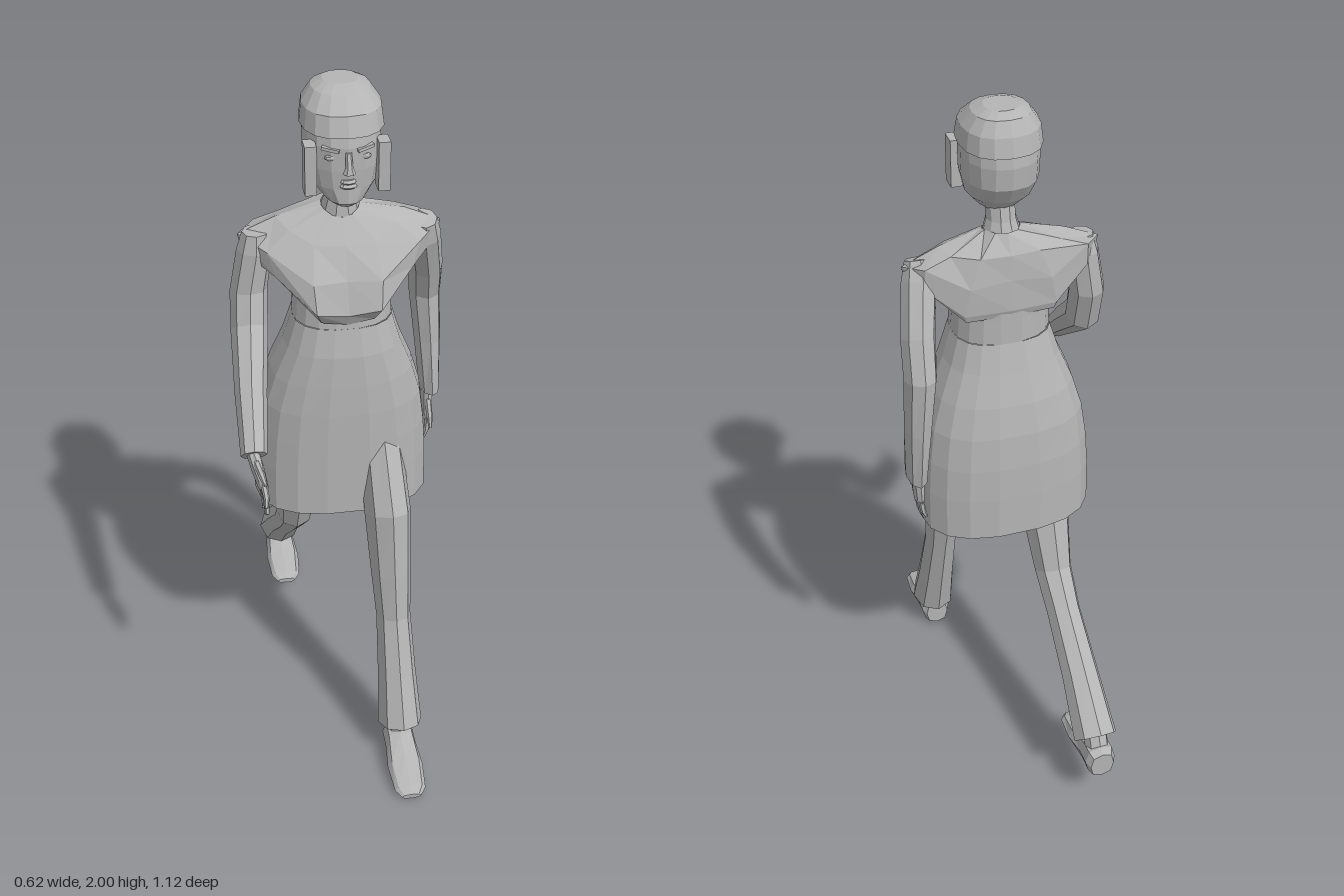
import * as THREE from 'three';

const grey = new THREE.MeshStandardMaterial({ color: 0xb4b4b4, flatShading: true, side: THREE.DoubleSide });
grey.name = 'plain grey';

// Joins closed rings of points into a surface
function skin(name, rings, capStart, capEnd) {
  const pos = [], idx = [], n = rings[0].length;
  rings.forEach(r => r.forEach(p => pos.push(...p)));
  for (let k = 0; k < rings.length - 1; k++) {
    for (let i = 0; i < n; i++) {
      const a = k * n + i, b = k * n + (i + 1) % n;
      idx.push(a, b, b + n, a, b + n, a + n);
    }
  }
  const last = (rings.length - 1) * n;
  for (let i = 1; i < n - 1; i++) {
    if (capStart) idx.push(0, i + 1, i);
    if (capEnd) idx.push(last, last + i, last + i + 1);
  }
  const g = new THREE.BufferGeometry();
  g.setAttribute('position', new THREE.Float32BufferAttribute(pos, 3));
  g.setIndex(idx);
  const flat = g.toNonIndexed();
  flat.computeVertexNormals();
  const mesh = new THREE.Mesh(flat, grey);
  mesh.name = name;
  return mesh;
}

// Sections are [x, y, z, half width, half depth]; rings follow the path unless a tilt is given
function loft(name, secs, { n = 8, tilt, caps = [true, true], pow = 1 } = {}) {
  const bend = v => Math.sign(v) * Math.abs(v) ** pow;
  const rings = secs.map(([x, y, z, w, d], k) => {
    const p = secs[Math.max(k - 1, 0)], q = secs[Math.min(k + 1, secs.length - 1)];
    const t = tilt ?? Math.atan2(q[2] - p[2], p[1] - q[1]);
    return Array.from({ length: n }, (_, i) => {
      const a = i / n * Math.PI * 2, u = bend(Math.cos(a)) * w, v = bend(Math.sin(a)) * d;
      return [x + u, y + v * Math.sin(t), z + v * Math.cos(t)];
    });
  });
  return skin(name, rings, ...caps);
}

// Upright body sections are [y, back z, front z, half width]
const upright = (name, secs, opts) =>
  loft(name, secs.map(([y, b, f, w]) => [0, y, (b + f) / 2, w, (f - b) / 2]), { tilt: 0, n: 16, ...opts });

function makeHead() {
  const head = new THREE.Group();
  head.name = 'head';
  head.add(upright('skull', [
    [1.99, -0.05, 0.05, 0.045], [1.975, -0.07, 0.09, 0.07], [1.94, -0.09, 0.125, 0.095],
    [1.87, -0.1, 0.14, 0.1], [1.81, -0.095, 0.14, 0.098], [1.76, -0.062, 0.137, 0.085],
    [1.72, -0.02, 0.138, 0.052], [1.705, 0.01, 0.12, 0.03]], { pow: 0.9 }));
  head.add(upright('hairCap', [
    [2.0, -0.045, 0.045, 0.045], [1.986, -0.07, 0.085, 0.074], [1.95, -0.092, 0.13, 0.1],
    [1.9, -0.103, 0.148, 0.106]], { pow: 0.85, caps: [true, false] }));
  head.add(upright('neck', [
    [1.74, -0.03, 0.065, 0.04], [1.69, -0.04, 0.045, 0.04], [1.64, -0.06, 0.05, 0.055]], { n: 10 }));

  // Nose and mouth
  head.add(loft('nose', [[0, 1.86, 0.138, 0.008, 0.008], [0, 1.825, 0.15, 0.01, 0.012],
    [0, 1.81, 0.152, 0.017, 0.014], [0, 1.803, 0.142, 0.012, 0.008]], { tilt: 0, n: 6 }));
  [[1.782, 0.02], [1.77, 0.022]].forEach(([y, w], i) => head.add(
    loft(i ? 'lowerLip' : 'upperLip', [[0, y + 0.006, 0.136, w * 0.8, 0.008], [0, y, 0.138, w, 0.013],
      [0, y - 0.006, 0.136, w * 0.7, 0.008]], { tilt: 0, n: 8 })));

  for (const s of [-1, 1]) {
    // Square side locks
    const lock = new THREE.Mesh(new THREE.BoxGeometry(0.03, 0.13, 0.048), grey);
    lock.name = 'sideLock';
    lock.position.set(s * 0.092, 1.812, 0.106);
    head.add(lock);
    const brow = new THREE.Mesh(new THREE.BoxGeometry(0.045, 0.008, 0.016), grey);
    brow.name = 'brow';
    brow.position.set(s * 0.043, 1.868, 0.129);
    brow.rotation.set(0, s * 0.35, s * 0.15);
    head.add(brow);
    const eye = new THREE.Mesh(new THREE.SphereGeometry(0.014, 8, 6), grey);
    eye.name = 'eye';
    eye.scale.set(1.2, 0.55, 0.6);
    eye.position.set(s * 0.043, 1.845, 0.127);
    head.add(eye);
  }
  return head;
}

function makeDress() {
  const dress = new THREE.Group();
  dress.name = 'dress';
  dress.add(upright('bodice', [
    [1.6, -0.08, 0.06, 0.12], [1.52, -0.088, 0.11, 0.13], [1.43, -0.09, 0.135, 0.13],
    [1.36, -0.092, 0.142, 0.135]], { n: 18, pow: 0.85 }));
  dress.add(upright('skirt', [
    [1.36, -0.092, 0.142, 0.135], [1.28, -0.115, 0.158, 0.16], [1.19, -0.142, 0.163, 0.197],
    [1.1, -0.16, 0.165, 0.224], [1, -0.17, 0.165, 0.238], [0.9, -0.174, 0.165, 0.245],
    [0.77, -0.176, 0.165, 0.247]], { n: 18, pow: 0.8, caps: [false, false] }));

  // Shoulder drape: each row runs from the middle of the back to the middle of the front
  const rows = [
    [[0, 1.67, -0.055], [0.03, 1.67, -0.045], [0.048, 1.665, -0.01], [0.05, 1.66, 0.01], [0.043, 1.655, 0.03], [0.025, 1.645, 0.045], [0, 1.64, 0.05]],
    [[0, 1.62, -0.085], [0.08, 1.62, -0.08], [0.15, 1.625, -0.05], [0.17, 1.632, 0], [0.14, 1.615, 0.05], [0.08, 1.585, 0.09], [0, 1.58, 0.095]],
    [[0, 1.55, -0.09], [0.11, 1.54, -0.09], [0.22, 1.6, -0.055], [0.268, 1.59, 0], [0.2, 1.565, 0.07], [0.09, 1.5, 0.148], [0, 1.5, 0.137]],
    [[0, 1.46, -0.092], [0.125, 1.46, -0.086], [0.22, 1.54, -0.055], [0.258, 1.54, 0], [0.18, 1.5, 0.085], [0.085, 1.425, 0.17], [0, 1.41, 0.16]],
    [[0, 1.44, -0.085], [0.12, 1.44, -0.08], [0.19, 1.53, -0.045], [0.2, 1.52, 0], [0.14, 1.45, 0.06], [0.07, 1.385, 0.14], [0, 1.375, 0.142]],
  ];
  const full = rows.map(r => [...r.slice(1, -1).reverse().map(([x, y, z]) => [-x, y, z]), ...r]);
  // Start at the back so the ring closes at the front
  dress.add(skin('shoulderDrape', full.map(r => [...r].reverse()), false, false));
  return dress;
}

// Palm, four fingers and a thumb hanging from the wrist, fingers pointing down
function makeHand(name) {
  const hand = new THREE.Group();
  hand.name = name;
  hand.add(loft('palm', [[0, 0.02, 0, 0.017, 0.024], [0, -0.03, 0, 0.017, 0.034],
    [0, -0.075, 0, 0.014, 0.04], [0, -0.09, 0, 0.012, 0.036]], { tilt: 0 }));
  for (let i = 0; i < 4; i++) {
    const z = -0.028 + i * 0.019, len = [0.055, 0.075, 0.08, 0.065][i];
    hand.add(loft('finger', [[0, -0.08, z, 0.009, 0.01], [-0.004, -0.08 - len * 0.6, z * 1.1, 0.008, 0.009],
      [-0.012, -0.08 - len, z * 1.1, 0.005, 0.005]], { tilt: 0, n: 6 }));
  }
  hand.add(loft('thumb', [[0, -0.02, 0.02, 0.01, 0.013], [0, -0.06, 0.052, 0.009, 0.011],
    [0, -0.09, 0.066, 0.005, 0.006]], { n: 6 }));
  return hand;
}

// One shoe, sole at y = 0
function makeShoe(name, x, y, z) {
  const shoe = loft(name, [[0, 0.05, 0.315, 0.035, 0.042], [0, 0.055, 0.335, 0.045, 0.05],
    [0, 0.052, 0.385, 0.045, 0.045], [0, 0.036, 0.46, 0.052, 0.029], [0, 0.022, 0.54, 0.045, 0.015],
    [0, 0.016, 0.562, 0.028, 0.008]], { tilt: Math.PI / 2, pow: 0.75 });
  shoe.position.set(x, y, z);
  return shoe;
}

export function createModel() {
  const model = new THREE.Group();
  model.name = 'walkingWoman';
  model.add(makeHead(), makeDress());

  // Sleeves
  model.add(loft('leftSleeve', [[0.222, 1.6, 0.01, 0.035, 0.035], [0.225, 1.55, -0.01, 0.048, 0.05],
    [0.25, 1.42, -0.075, 0.047, 0.055], [0.258, 1.32, -0.115, 0.045, 0.056],
    [0.27, 1.16, -0.113, 0.038, 0.055], [0.278, 0.995, -0.103, 0.028, 0.06]]));
  model.add(loft('rightSleeve', [[-0.222, 1.6, 0.01, 0.035, 0.035], [-0.225, 1.55, 0.008, 0.048, 0.048],
    [-0.245, 1.43, 0.01, 0.05, 0.05], [-0.25, 1.33, 0.045, 0.05, 0.055],
    [-0.265, 1.22, 0.185, 0.043, 0.047], [-0.275, 1.11, 0.315, 0.035, 0.035]]));

  // Hands
  const leftHand = makeHand('leftHand');
  leftHand.position.set(0.27, 0.99, -0.09);
  const rightHand = makeHand('rightHand');
  rightHand.position.set(-0.275, 1.105, 0.32);
  rightHand.rotation.set(-0.78, 0, 0.2);
  rightHand.scale.set(1, 0.95, 0.95);
  model.add(leftHand, rightHand);

  // Trouser legs
  model.add(loft('leftTrouserLeg', [[0.1, 0.98, 0.07, 0.06, 0.08], [0.108, 0.78, 0.18, 0.066, 0.093],
    [0.113, 0.6, 0.223, 0.058, 0.068], [0.118, 0.45, 0.25, 0.05, 0.055],
    [0.122, 0.27, 0.302, 0.056, 0.062], [0.125, 0.115, 0.35, 0.065, 0.072]]));
  model.add(loft('rightTrouserLeg', [[-0.1, 0.95, -0.01, 0.07, 0.08], [-0.112, 0.77, -0.055, 0.073, 0.075],
    [-0.118, 0.57, -0.13, 0.055, 0.062], [-0.12, 0.48, -0.22, 0.05, 0.055],
    [-0.124, 0.35, -0.365, 0.055, 0.056], [-0.126, 0.222, -0.495, 0.064, 0.062]]));

  // Ankles and shoes
  model.add(loft('leftAnkle', [[0.122, 0.16, 0.34, 0.035, 0.035], [0.122, 0.06, 0.35, 0.035, 0.035]]));
  model.add(loft('rightAnkle', [[-0.127, 0.25, -0.48, 0.035, 0.035], [-0.127, 0.165, -0.52, 0.035, 0.035]]));
  model.add(makeShoe('leftShoe', 0.122, 0, 0), makeShoe('rightShoe', -0.127, 0.112, -0.872));
  return model;
}
